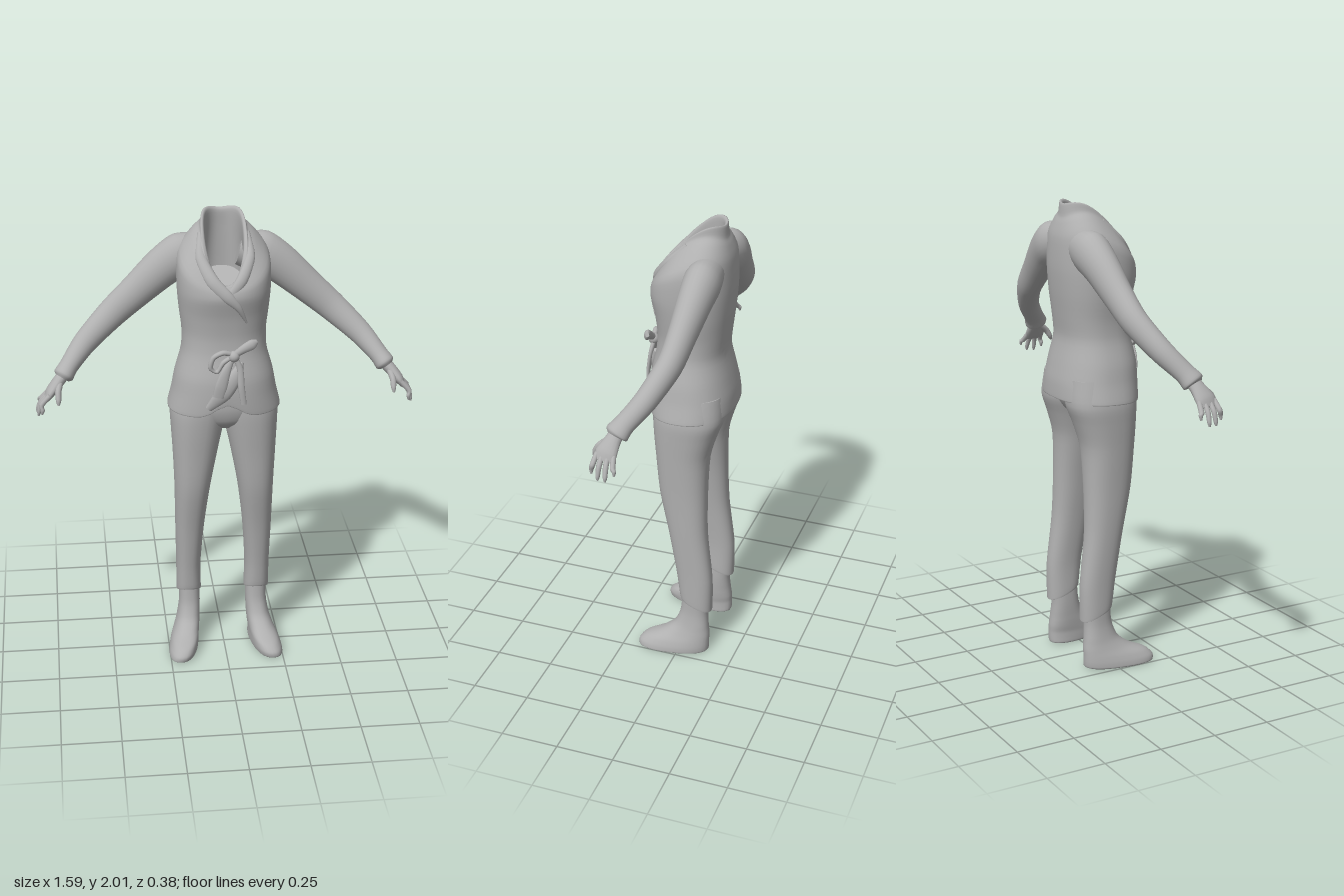
import * as THREE from 'three';

const fabric = new THREE.MeshStandardMaterial({ color: 0xb0b0b0, side: THREE.DoubleSide });
const V = (x, y, z) => new THREE.Vector3(x, y, z);

// Skin a list of closed rings, smoothing between them along the length
function skin(name, rings, { steps = 4, capStart = true, capEnd = true, warp } = {}) {
  const n = rings[0].length, rows = (rings.length - 1) * steps + 1;
  const pos = [], idx = [];
  const columns = rings[0].map((_, j) => new THREE.CatmullRomCurve3(rings.map(r => r[j]), false, 'catmullrom', 0.4));
  for (let i = 0; i < rows; i++) {
    for (let j = 0; j < n; j++) {
      const p = columns[j].getPoint(i / (rows - 1));
      if (warp) warp(p);
      pos.push(p.x, p.y, p.z);
    }
  }
  for (let i = 0; i < rows - 1; i++) {
    for (let j = 0; j < n; j++) {
      const a = i * n + j, b = i * n + (j + 1) % n;
      idx.push(a, a + n, b, b, a + n, b + n);
    }
  }
  const cap = (row, flip) => {
    const start = pos.length / 3, c = V(0, 0, 0);
    for (let j = 0; j < n; j++) {
      const k = (row * n + j) * 3;
      c.add(V(pos[k], pos[k + 1], pos[k + 2]));
      pos.push(pos[k], pos[k + 1], pos[k + 2]);
    }
    c.divideScalar(n);
    pos.push(c.x, c.y, c.z);
    for (let j = 0; j < n; j++) {
      const a = start + j, b = start + (j + 1) % n;
      idx.push(...(flip ? [start + n, a, b] : [start + n, b, a]));
    }
  };
  if (capStart) cap(0, true);
  if (capEnd) cap(rows - 1, false);
  const g = new THREE.BufferGeometry();
  g.setAttribute('position', new THREE.Float32BufferAttribute(pos, 3));
  g.setIndex(idx);
  g.computeVertexNormals();
  const mesh = new THREE.Mesh(g, fabric);
  mesh.name = name;
  return mesh;
}

// Level or tilted ring: centre x, half width, back y/z, front y/z, lift at the sides
function ring([cx, rx, yB, zB, yF, zF, lift = 0], n = 32, power = 0.85) {
  const soft = v => Math.sign(v) * Math.abs(v) ** power;
  return Array.from({ length: n }, (_, j) => {
    const a = j / n * Math.PI * 2, c = soft(Math.cos(a)), s = soft(Math.sin(a)), t = (s + 1) / 2;
    return V(cx + rx * c, yB + (yF - yB) * t + lift * c * c, zB + (zF - zB) * t);
  });
}

// Limb or ribbon: points of [x, y, z, radius in the front plane, radius in depth]
function limb(name, pts, n = 16, options) {
  const c = pts.map(p => V(p[0], p[1], p[2]));
  const rings = pts.map((p, i) => {
    const t = c[Math.min(i + 1, c.length - 1)].clone().sub(c[Math.max(i - 1, 0)]).normalize();
    const s = t.clone().cross(V(0, 0, 1)).normalize(), u = s.clone().cross(t);
    return Array.from({ length: n }, (_, j) => {
      const a = j / n * Math.PI * 2;
      return c[i].clone().addScaledVector(s, Math.cos(a) * p[3]).addScaledVector(u, Math.sin(a) * p[4]);
    });
  });
  return skin(name, rings, options);
}

function jacket() {
  const g = new THREE.Group();
  g.name = 'jacket';
  // Body from the turned hem up to the collar and down inside the neck
  const sections = [
    [0, 0.205, 1.24, -0.15, 1.24, 0.13],
    [0, 0.232, 1.195, -0.183, 1.185, 0.158],
    [0, 0.24, 1.19, -0.19, 1.18, 0.165],
    [0, 0.222, 1.26, -0.187, 1.26, 0.168],
    [0, 0.207, 1.34, -0.172, 1.34, 0.165],
    [0, 0.18, 1.44, -0.152, 1.44, 0.145],
    [0, 0.177, 1.53, -0.16, 1.52, 0.14],
    [0, 0.188, 1.63, -0.172, 1.61, 0.15],
    [0, 0.195, 1.74, -0.18, 1.69, 0.168],
    [0, 0.19, 1.86, -0.176, 1.725, 0.163, 0.045],
    [0, 0.135, 1.92, -0.16, 1.745, 0.15, 0.075],
    [0, 0.1, 1.95, -0.148, 1.75, 0.145, 0.085],
    [0, 0.093, 2.0, -0.142, 1.75, 0.138, 0.075],
    [0, 0.08, 1.99, -0.128, 1.745, 0.125, 0.07],
    [0, 0.082, 1.92, -0.13, 1.7, 0.125, 0.04],
    [0, 0.1, 1.75, -0.135, 1.6, 0.11],
  ];
  g.add(skin('jacketBody', sections.map(s => ring(s, 48)), {
    capStart: false,
    // Front hem curves away where the two panels meet
    warp: p => {
      if (p.z > 0 && p.y < 1.3) p.y += 0.055 * Math.exp(-((p.x / 0.07) ** 2)) * (1.3 - p.y) / 0.12;
    },
  }));
  // Crossed lapels
  g.add(limb('leftLapel', [
    [0.095, 1.93, -0.01, 0.014, 0.014], [0.1, 1.85, 0.07, 0.022, 0.018],
    [0.06, 1.77, 0.135, 0.024, 0.016], [0.0, 1.7, 0.158, 0.016, 0.01]]));
  g.add(limb('rightLapel', [
    [-0.095, 1.93, -0.01, 0.014, 0.014], [-0.1, 1.85, 0.07, 0.024, 0.018],
    [-0.06, 1.77, 0.135, 0.028, 0.018], [0.0, 1.71, 0.163, 0.024, 0.014],
    [0.045, 1.66, 0.16, 0.014, 0.01], [0.08, 1.59, 0.137, 0.004, 0.005]]));
  // Tied sash
  const ribbons = {
    bowRight: [[0.02, 1.455, 0.165, 0.012, 0.012], [0.06, 1.485, 0.172, 0.018, 0.014],
      [0.1, 1.505, 0.168, 0.022, 0.014], [0.12, 1.515, 0.16, 0.01, 0.008]],
    bowLeft: [[0.03, 1.46, 0.165, 0.01, 0.01], [-0.02, 1.475, 0.175, 0.011, 0.012],
      [-0.06, 1.455, 0.175, 0.011, 0.012], [-0.073, 1.41, 0.172, 0.011, 0.012],
      [-0.045, 1.39, 0.17, 0.009, 0.012], [-0.02, 1.43, 0.172, 0.01, 0.012], [0.02, 1.455, 0.168, 0.01, 0.01]],
    tailLeft: [[0.02, 1.45, 0.165, 0.01, 0.01], [-0.01, 1.39, 0.18, 0.02, 0.009],
      [-0.03, 1.33, 0.185, 0.026, 0.008], [-0.042, 1.28, 0.183, 0.024, 0.006]],
    tailRight: [[0.03, 1.45, 0.165, 0.01, 0.01], [0.05, 1.4, 0.172, 0.013, 0.009],
      [0.055, 1.32, 0.182, 0.014, 0.008], [0.065, 1.245, 0.182, 0.012, 0.006]],
    frontFold: [[0.06, 1.42, 0.145, 0.01, 0.01], [0.03, 1.36, 0.163, 0.03, 0.015],
      [-0.02, 1.29, 0.172, 0.035, 0.015], [-0.08, 1.22, 0.158, 0.015, 0.008]],
  };
  for (const name in ribbons) g.add(limb(name, ribbons[name], 12));
  const knot = new THREE.Mesh(new THREE.SphereGeometry(0.024, 16, 12), fabric);
  knot.name = 'knot';
  knot.position.set(0.025, 1.455, 0.168);
  g.add(knot);
  return g;
}

function arm(side) {
  const g = new THREE.Group();
  g.name = side > 0 ? 'leftArm' : 'rightArm';
  const m = pts => pts.map(([x, ...rest]) => [x * side, ...rest]);
  // Sleeve with a turned cuff
  g.add(limb('sleeve', m([
    [0.07, 1.835, -0.1, 0.07, 0.06], [0.165, 1.815, -0.098, 0.094, 0.076],
    [0.25, 1.762, -0.092, 0.084, 0.07], [0.36, 1.667, -0.08, 0.071, 0.058],
    [0.465, 1.577, -0.063, 0.062, 0.052], [0.58, 1.475, -0.008, 0.05, 0.047],
    [0.65, 1.398, 0.053, 0.04, 0.044], [0.675, 1.365, 0.076, 0.042, 0.05],
    [0.682, 1.355, 0.08, 0.03, 0.036]]), 24));
  // Palm, fingers and thumb
  g.add(limb('palm', m([
    [0.665, 1.378, 0.07, 0.025, 0.03], [0.695, 1.345, 0.085, 0.025, 0.034],
    [0.73, 1.305, 0.1, 0.021, 0.046], [0.75, 1.275, 0.103, 0.012, 0.042]])));
  const tips = [[0.782, 1.235, 0.05], [0.79, 1.207, 0.085], [0.785, 1.205, 0.118], [0.77, 1.222, 0.15]];
  tips.forEach(([x, y, z], i) => {
    const bz = 0.068 + i * 0.023;
    g.add(limb('finger', m([
      [0.735, 1.3, bz, 0.011, 0.011], [0.77, 1.262, (bz + z) / 2, 0.011, 0.011],
      [x - 0.003, y + 0.018, z, 0.009, 0.009], [x, y, z, 0.004, 0.004]]), 10));
  });
  g.add(limb('thumb', m([
    [0.69, 1.345, 0.1, 0.014, 0.014], [0.7, 1.315, 0.14, 0.013, 0.014],
    [0.7, 1.285, 0.16, 0.011, 0.011], [0.701, 1.265, 0.168, 0.004, 0.004]]), 10));
  return g;
}

function leg(side) {
  const g = new THREE.Group();
  g.name = side > 0 ? 'leftLeg' : 'rightLeg';
  const make = (name, list, options) =>
    skin(name, list.map(([xIn, xOut, ...rest]) => ring([side * (xIn + xOut) / 2, (xOut - xIn) / 2, ...rest])), options);
  // Trouser leg: inner x, outer x, then back and front y/z
  g.add(make('trouserLeg', [
    [0.1, 0.2, 0.25, -0.12, 0.3, -0.02],
    [0.102, 0.203, 0.222, -0.137, 0.276, -0.005],
    [0.098, 0.207, 0.225, -0.14, 0.28, 0.004],
    [0.1, 0.208, 0.38, -0.14, 0.4, 0.02],
    [0.085, 0.212, 0.6, -0.115, 0.6, 0.055],
    [0.06, 0.215, 0.8, -0.11, 0.8, 0.098],
    [0.027, 0.222, 0.98, -0.115, 0.98, 0.117],
    [0.003, 0.228, 1.09, -0.145, 1.09, 0.128],
    [-0.015, 0.23, 1.17, -0.172, 1.17, 0.133],
    [-0.02, 0.21, 1.28, -0.165, 1.28, 0.13]]));
  // Soft boot, toe turned slightly outward
  g.add(make('boot', [
    [0.122, 0.24, 0, -0.118, 0, 0.172],
    [0.116, 0.245, 0.006, -0.128, 0.006, 0.183],
    [0.115, 0.243, 0.028, -0.13, 0.028, 0.183],
    [0.115, 0.235, 0.055, -0.13, 0.055, 0.155],
    [0.112, 0.222, 0.085, -0.13, 0.085, 0.085],
    [0.107, 0.207, 0.13, -0.125, 0.13, 0.03],
    [0.104, 0.197, 0.2, -0.12, 0.2, 0.003],
    [0.105, 0.197, 0.3, -0.125, 0.3, -0.005]], {
    warp: p => { if (p.y < 0.13) p.x += side * p.z * 0.15 * (1 - p.y / 0.13); },
  }));
  return g;
}

export function createModel() {
  const model = new THREE.Group();
  model.name = 'clothedFigure';
  model.add(jacket());
  // Hips join the two legs under the jacket
  model.add(skin('hips', [
    [0, 0.05, 1.09, -0.07, 1.09, 0.07], [0, 0.14, 1.13, -0.125, 1.13, 0.115],
    [0, 0.2, 1.2, -0.16, 1.2, 0.135], [0, 0.19, 1.32, -0.15, 1.32, 0.13]].map(s => ring(s))));
  for (const side of [1, -1]) model.add(arm(side), leg(side));
  return model;
}
